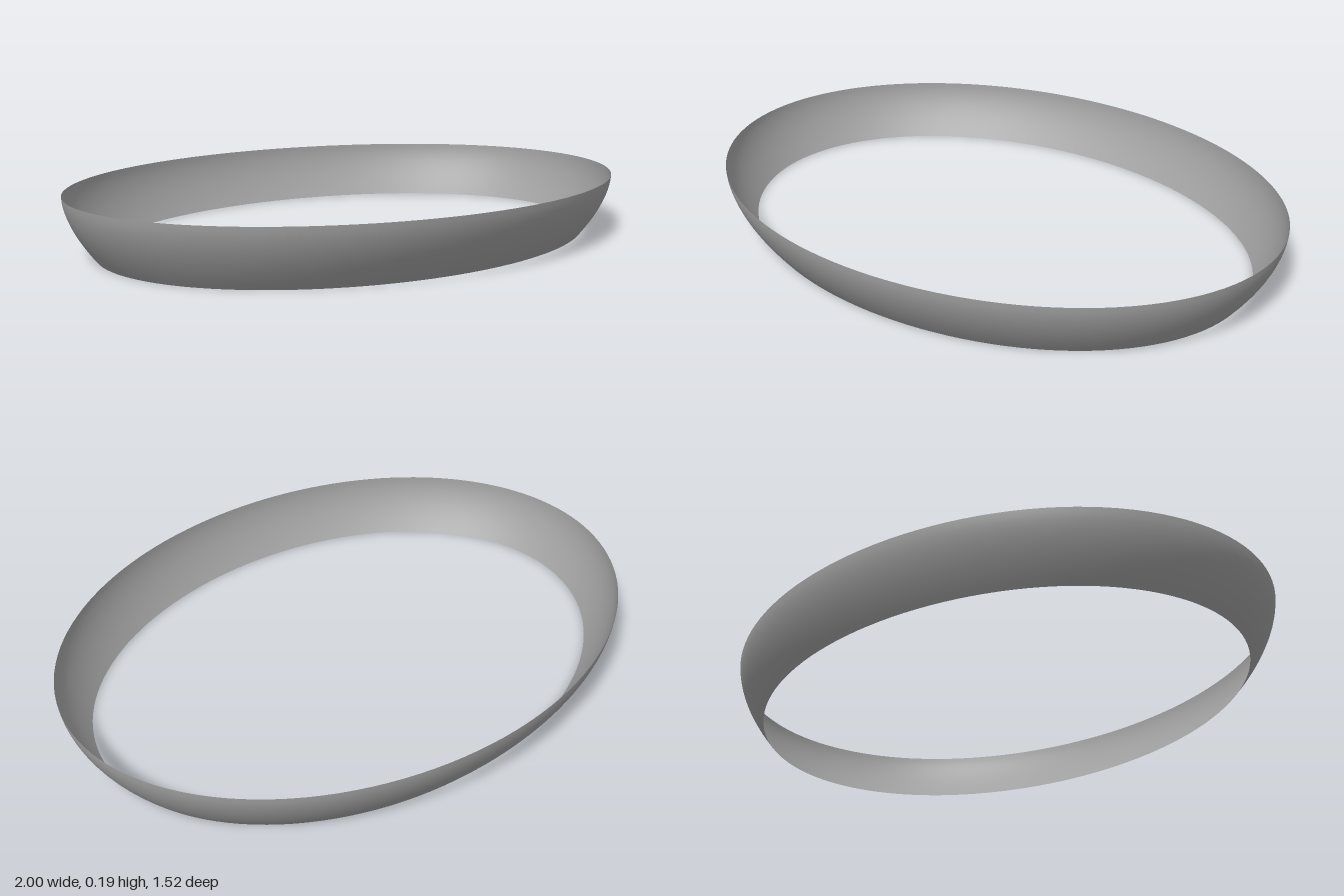
import * as THREE from 'three';
import { mergeVertices } from 'three/addons/utils/BufferGeometryUtils.js';

const HEIGHT = 0.187, INSET = 0.092, HALF_DEPTH = 0.762;

// How far the wall sits inside the top rim at a given height
const insetAt = (y) => INSET * Math.pow(Math.max(0, 1 - y / HEIGHT), 1.7);

export function createModel() {
  const group = new THREE.Group();
  group.name = 'ovalBand';

  // Bowl-like wall profile, open at the top and bottom
  const profile = [];
  for (let i = 0; i <= 12; i++) {
    const y = (HEIGHT * i) / 12;
    profile.push(new THREE.Vector2(1 - insetAt(y), y));
  }
  let geometry = new THREE.LatheGeometry(profile, 128);

  // Squeeze the round wall into an oval with the same inset on every side
  const pos = geometry.attributes.position;
  for (let i = 0; i < pos.count; i++) {
    const inset = insetAt(pos.getY(i));
    pos.setZ(i, (pos.getZ(i) * (HALF_DEPTH - inset)) / (1 - inset));
  }

  // Weld the seam for smooth normals all round
  geometry.deleteAttribute('normal');
  geometry.deleteAttribute('uv');
  geometry = mergeVertices(geometry);
  geometry.computeVertexNormals();

  const wall = new THREE.Mesh(
    geometry,
    new THREE.MeshStandardMaterial({ color: 0xa0a0a0, side: THREE.DoubleSide })
  );
  wall.name = 'flaredWall';
  group.add(wall);
  return group;
}
